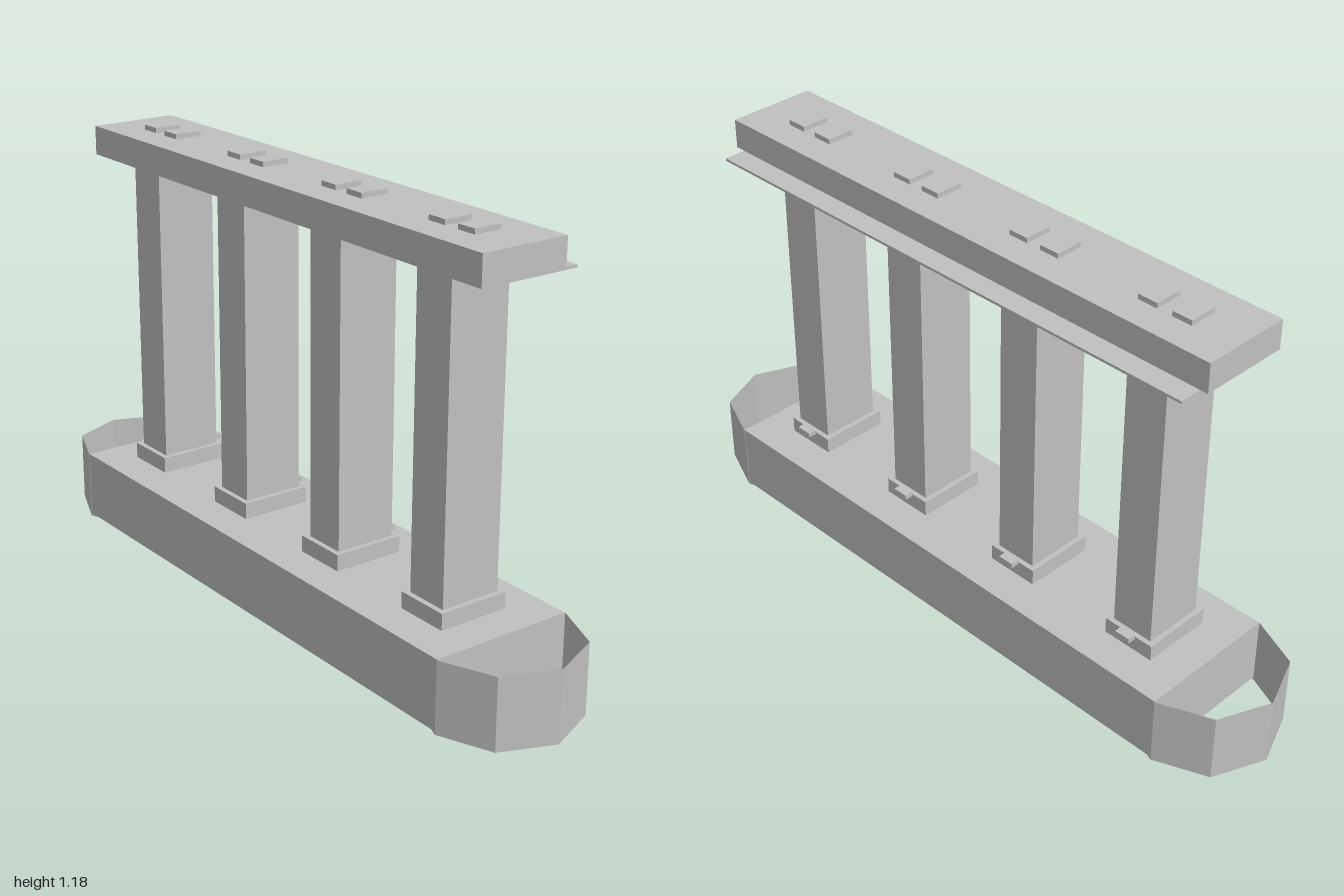
import * as THREE from 'three';

export function createModel() {
  const model = new THREE.Group();
  const stone = new THREE.MeshStandardMaterial({ color: 0xc0c0c0 });
  stone.name = 'greyStone';
  stone.flatShading = true;
  // open end walls show both of their sides
  const wallStone = stone.clone();
  wallStone.name = 'greyStoneWall';
  wallStone.side = THREE.DoubleSide;

  // box given by its extents on each axis
  function block(name, [x0, x1], [y0, y1], [z0, z1], parent = model) {
    const mesh = new THREE.Mesh(new THREE.BoxGeometry(x1 - x0, y1 - y0, z1 - z0), stone);
    mesh.name = name;
    mesh.position.set((x0 + x1) / 2, (y0 + y1) / 2, (z0 + z1) / 2);
    parent.add(mesh);
    return mesh;
  }

  // pier base with open octagonal walls round both ends
  block('pierBase', [-0.795, 0.795], [0.008, 0.198], [-0.204, 0.204]);
  for (const side of [-1, 1]) {
    const wall = new THREE.Mesh(new THREE.CylinderGeometry(0.205, 0.205, 0.197, 8, 1, true), wallStone);
    wall.name = side > 0 ? 'leftEndWall' : 'rightEndWall';
    wall.position.set(side * 0.795, 0.0985, 0);
    model.add(wall);
  }

  // four columns, each with a plinth, a rear tab and two bearing pads
  for (const x of [-0.615, -0.205, 0.205, 0.615]) {
    const column = new THREE.Group();
    column.name = 'column';
    column.position.x = x;
    model.add(column);
    block('plinth', [-0.076, 0.076], [0.198, 0.243], [-0.101, 0.102], column);
    block('shaft', [-0.061, 0.061], [0.243, 1.086], [-0.087, 0.087], column);
    block('rearTab', [-0.023, 0.023], [0.236, 0.25], [-0.126, -0.1], column);
    for (const offset of [-0.051, 0.051]) {
      block('bearingPad', [offset - 0.029, offset + 0.029], [1.166, 1.181], [-0.04, 0.04], column);
    }
  }

  // cap beam and the thin ledge along its back
  block('capBeam', [-0.82, 0.82], [1.086, 1.167], [-0.126, 0.127]);
  block('rearLedge', [-0.795, 0.795], [1.076, 1.083], [-0.185, -0.122]);

  return model;
}
